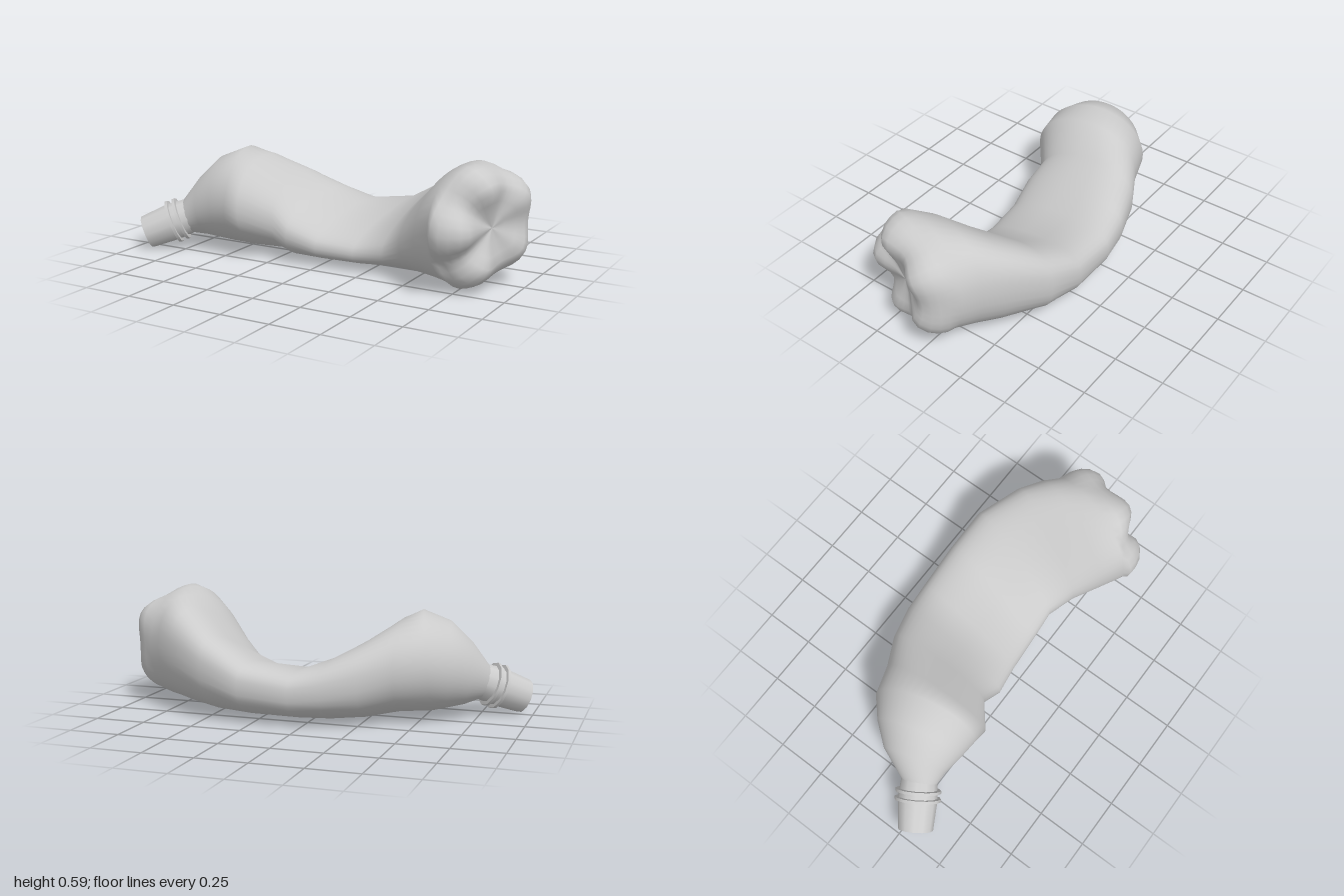
import * as THREE from 'three';
import { toCreasedNormals } from 'three/addons/utils/BufferGeometryUtils.js';

const SEG = 40;
const mat = new THREE.MeshStandardMaterial({ color: 0xcccccc, side: THREE.DoubleSide });

// Cross-sections of the crushed bottle, neck to base:
// back x, back z, front x, front z, bottom y, top y, squareness, rise to the back, lean
const sections = [
  [-0.80, 0.125, -0.72, 0.275, 0.08, 0.25, 2, 0, 0.025],
  [-0.74, -0.03, -0.66, 0.28, 0.065, 0.37, 2, 0, 0.02],
  [-0.66, -0.13, -0.56, 0.30, 0.05, 0.475, 2, 0, 0.01],
  [-0.57, -0.21, -0.46, 0.31, 0.04, 0.53, 2, 0, -0.025],
  [-0.42, -0.26, -0.38, 0.315, 0.035, 0.49, 2.1, 0.01, 0],
  [-0.27, -0.34, -0.25, 0.21, 0.02, 0.39, 2.3, 0.03, 0],
  [-0.10, -0.39, -0.15, 0.235, 0.01, 0.305, 2.4, 0.04, 0],
  [0.05, -0.41, 0.0, 0.21, 0.012, 0.24, 2.5, 0.055, 0],
  [0.30, -0.42, 0.20, 0.195, 0.015, 0.255, 2.5, 0.085, 0],
  [0.50, -0.40, 0.35, 0.185, 0.018, 0.345, 2.4, 0.13, 0],
  [0.70, -0.30, 0.47, 0.24, 0.02, 0.475, 2.3, 0.12, 0],
  [0.80, -0.23, 0.58, 0.32, 0.02, 0.555, 2.2, 0.06, 0],
  [0.87, -0.175, 0.68, 0.385, 0.02, 0.585, 2.2, 0, 0],
];

// Base rings: scale, lobe depth in radius, forward at lobes, forward at valleys
const baseRings = [
  [1.04, 0.15, 0.05, 0.03],
  [1.0, 0.16, 0.09, 0.06],
  [0.92, 0.13, 0.13, 0.085],
  [0.78, 0.09, 0.165, 0.105],
  [0.64, 0.05, 0.175, 0.115],
  [0.46, 0.02, 0.155, 0.12],
  [0.25, 0, 0.13, 0.12],
  [0, 0, 0.12, 0.12],
];

function sectionPoint([bx, bz, fx, fz, y0, y1, n, rise, lean], angle, scale = 1, push = 0) {
  const power = (v) => Math.sign(v) * Math.abs(v) ** (2 / n) * scale;
  const u = power(Math.cos(angle)), v = power(Math.sin(angle));
  const hx = (fx - bx) / 2, hz = (fz - bz) / 2, len = Math.hypot(hx, hz);
  const along = push - lean * v;
  return [
    (bx + fx) / 2 + hx * u + (hz / len) * along,
    (y0 + y1) / 2 + ((y1 - y0) / 2) * v - rise * u * (1.2 + v) / 2.2,
    (bz + fz) / 2 + hz * u - (hx / len) * along,
  ];
}

function bodyGeometry() {
  const pos = [], index = [];
  const addRing = (fn) => {
    for (let j = 0; j < SEG; j++) pos.push(...fn((j / SEG) * Math.PI * 2));
  };
  sections.forEach((s) => addRing((a) => sectionPoint(s, a)));
  // Five-lobed base, with deeper valleys and a wider rim towards the front
  const last = sections[sections.length - 1];
  for (const [scale, depth, lobe, valley] of baseRings) {
    addRing((a) => {
      const c = Math.cos(a);
      const dip = ((1 - Math.cos(5 * a)) / 2) * (0.7 + 0.3 * c);
      const slant = scale * (0.015 * Math.sin(a) - 0.015 * c);
      return sectionPoint(last, a, scale * (1 + 0.04 * c) - depth * dip,
        lobe - (lobe - valley) * dip + slant);
    });
  }
  const rings = sections.length + baseRings.length;
  for (let i = 0; i < rings - 1; i++) {
    for (let j = 0; j < SEG; j++) {
      const a = i * SEG + j, b = i * SEG + ((j + 1) % SEG);
      index.push(a, a + SEG, b);
      if (i < rings - 2) index.push(b, a + SEG, b + SEG);
    }
  }
  const g = new THREE.BufferGeometry();
  g.setAttribute('position', new THREE.Float32BufferAttribute(pos, 3));
  g.setIndex(index);
  g.computeVertexNormals();
  return g;
}

function addMesh(parent, name, geometry) {
  const m = new THREE.Mesh(geometry, mat);
  m.name = name;
  parent.add(m);
  return m;
}

export function createModel() {
  const group = new THREE.Group();
  group.name = 'crushedBottle';
  addMesh(group, 'body', bodyGeometry());

  // Open neck with two collars, its axis running from the mouth to the shoulder
  const neck = new THREE.Group();
  neck.name = 'neck';
  neck.position.set(-0.945, 0.08, 0.314);
  const axis = new THREE.Vector3(0.76, 0.35, -0.48).normalize();
  neck.quaternion.setFromUnitVectors(new THREE.Vector3(0, 1, 0), axis);
  const wall = [[0.086, 0], [0.097, 0.15], [0.093, 0.2], [0.088, 0.25]];
  const tube = new THREE.LatheGeometry(wall.map(([r, y]) => new THREE.Vector2(r, y)), 12);
  addMesh(neck, 'neckTube', tube);
  for (const [name, y, r] of [['upperCollar', 0.15, 0.114], ['lowerCollar', 0.19, 0.112]]) {
    const rim = [[0.09, -0.009], [r, -0.007], [r, 0.007], [0.09, 0.009]];
    const g = new THREE.LatheGeometry(rim.map(([a, b]) => new THREE.Vector2(a, b)), 12);
    addMesh(neck, name, toCreasedNormals(g, 0.6)).position.y = y;
  }
  group.add(neck);
  return group;
}
